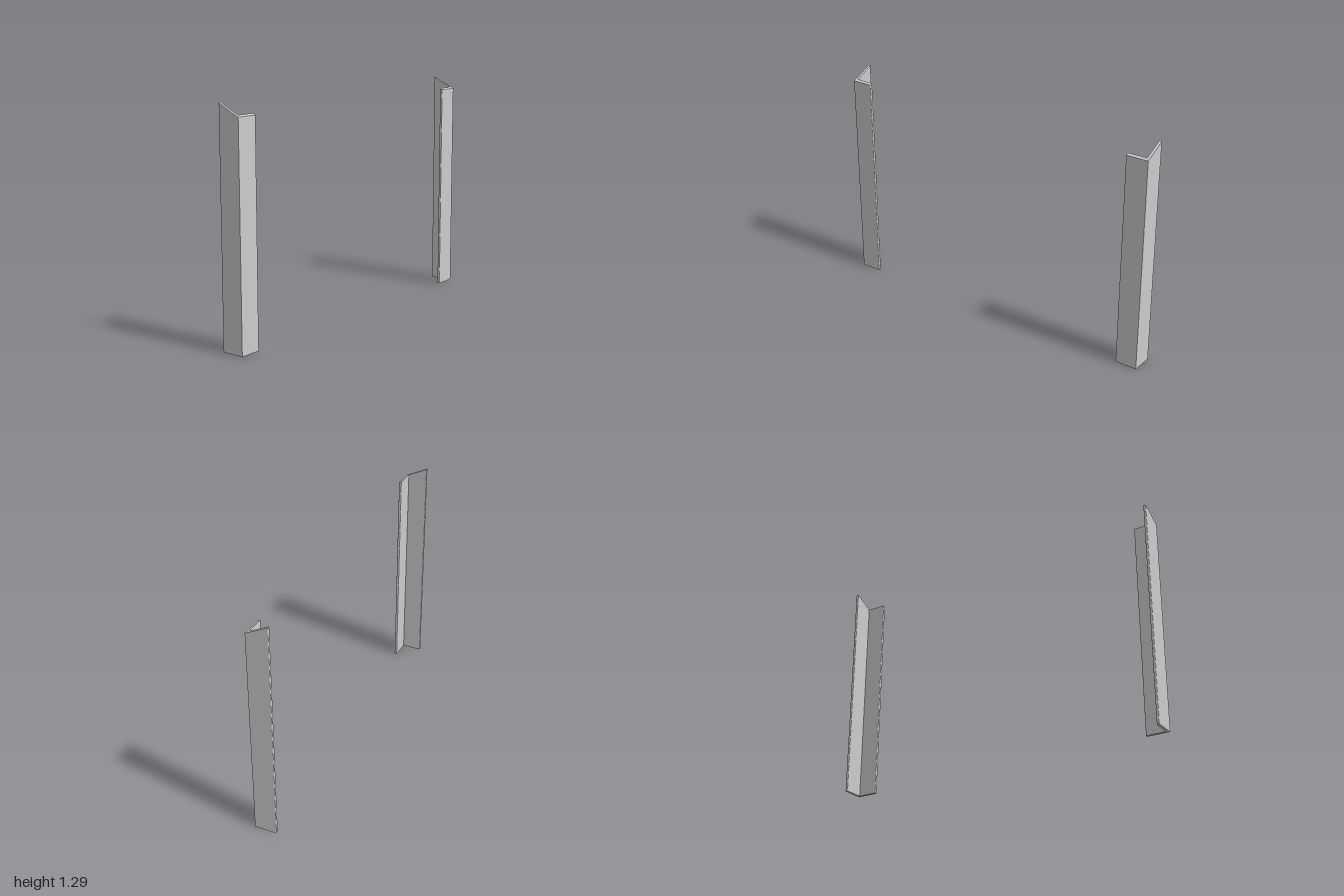
import * as THREE from 'three';

const HALF = 0.065;   // half the flange width
const T = 0.016;      // plate thickness
const R = 0.005;      // rounding of the flange toes
const TOP_HIGH = 1.29, TOP_LOW = 1.225;

// L-shaped section with its heel at +x and at the outer end of z (side = 1 front, -1 back)
function angleSection(side) {
  const s = new THREE.Shape();
  const y = (z) => -z * side;
  const inner = 1 - 2 * HALF;
  s.moveTo(HALF, y(1));
  s.lineTo(HALF, y(inner + R));
  s.quadraticCurveTo(HALF, y(inner), HALF - R, y(inner));
  s.lineTo(HALF - T + R, y(inner));
  s.quadraticCurveTo(HALF - T, y(inner), HALF - T, y(inner + R));
  s.lineTo(HALF - T, y(1 - T));
  s.lineTo(-HALF + R, y(1 - T));
  s.quadraticCurveTo(-HALF, y(1 - T), -HALF, y(1 - T + R));
  s.lineTo(-HALF, y(1 - R));
  s.quadraticCurveTo(-HALF, y(1), -HALF + R, y(1));
  s.closePath();
  return s;
}

// Upright post, its top cut at a slant that falls towards +x
function anglePost(side, name, material) {
  const geo = new THREE.ExtrudeGeometry(angleSection(side), { depth: 1, bevelEnabled: false, curveSegments: 4 });
  geo.rotateX(-Math.PI / 2);
  const p = geo.attributes.position;
  for (let i = 0; i < p.count; i++) {
    const t = (p.getX(i) + HALF) / (2 * HALF);
    p.setY(i, p.getY(i) > 0.5 ? THREE.MathUtils.lerp(TOP_HIGH, TOP_LOW, t) : 0);
  }
  geo.computeVertexNormals();
  const mesh = new THREE.Mesh(geo, material);
  mesh.name = name;
  return mesh;
}

export function createModel() {
  const group = new THREE.Group();
  group.name = 'anglePosts';
  const material = new THREE.MeshStandardMaterial({ color: 0xcccccc });
  group.add(anglePost(1, 'frontPost', material), anglePost(-1, 'backPost', material));
  return group;
}
